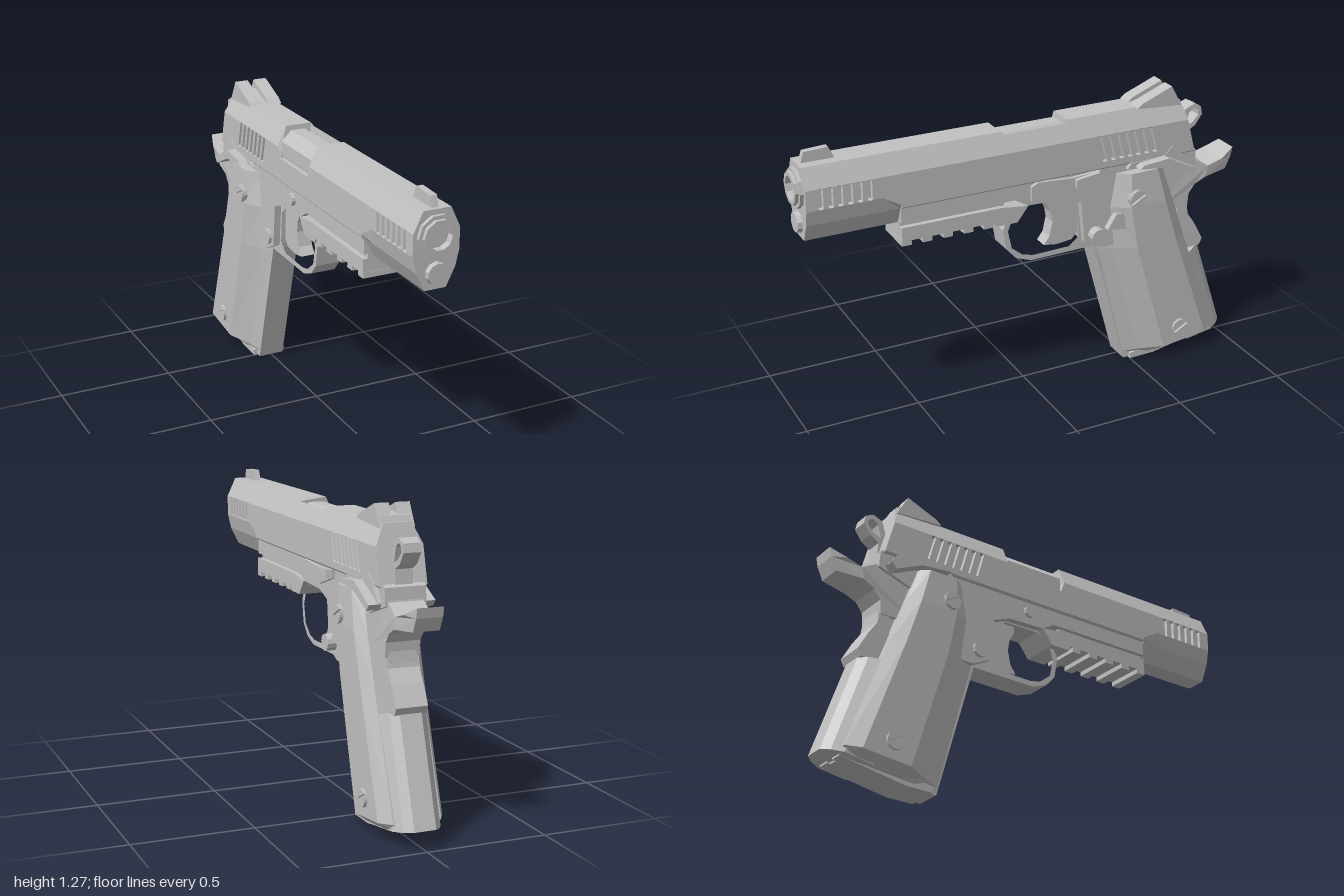
import * as THREE from 'three';

export function createModel() {
  const group = new THREE.Group();
  const steel = new THREE.MeshStandardMaterial({ color: 0xc2c2c2, flatShading: true });
  steel.name = 'grey steel';

  function add(name, geometry) {
    const mesh = new THREE.Mesh(geometry, steel);
    mesh.name = name;
    group.add(mesh);
    return mesh;
  }
  // Side profile of [z, y] points, extruded from x0 to x1
  function prism(name, pts, x0, x1, holes = [], taper = null) {
    const toV = (p) => new THREE.Vector2(p[0], p[1]);
    const shape = new THREE.Shape(pts.map(toV));
    holes.forEach((h) => shape.holes.push(new THREE.Path(h.map(toV))));
    const geo = new THREE.ExtrudeGeometry(shape, { depth: x1 - x0, bevelEnabled: false });
    geo.rotateY(-Math.PI / 2).translate(x1, 0, 0);
    if (taper) {
      const p = geo.attributes.position;
      for (let i = 0; i < p.count; i++) p.setX(i, p.getX(i) * taper(p.getZ(i)));
    }
    geo.computeVertexNormals();
    return add(name, geo);
  }
  // Closed skin over rings of [x, y, z] points, turned to face outward
  function loft(name, rings) {
    const tris = [];
    const n = rings[0].length;
    for (let i = 0; i < rings.length - 1; i++) {
      for (let j = 0; j < n; j++) {
        const k = (j + 1) % n, a = rings[i], b = rings[i + 1];
        tris.push([a[j], a[k], b[k]], [a[j], b[k], b[j]]);
      }
    }
    const cap = (r, flip) => {
      const c = [0, 1, 2].map((d) => r.reduce((s, p) => s + p[d], 0) / n);
      r.forEach((p, j) => tris.push(flip ? [c, r[(j + 1) % n], p] : [c, p, r[(j + 1) % n]]));
    };
    cap(rings[0], true);
    cap(rings[rings.length - 1], false);
    let volume = 0;
    const v = [new THREE.Vector3(), new THREE.Vector3(), new THREE.Vector3()];
    tris.forEach((t) => {
      t.forEach((p, i) => v[i].set(...p));
      volume += v[0].dot(v[1].cross(v[2]));
    });
    if (volume < 0) tris.forEach((t) => t.reverse());
    const geo = new THREE.BufferGeometry();
    geo.setAttribute('position', new THREE.Float32BufferAttribute(tris.flat(2), 3));
    geo.computeVertexNormals();
    return add(name, geo);
  }
  function box(name, x0, x1, y0, y1, z0, z1) {
    const m = add(name, new THREE.BoxGeometry(x1 - x0, y1 - y0, z1 - z0));
    m.position.set((x0 + x1) / 2, (y0 + y1) / 2, (z0 + z1) / 2);
  }
  // Round pin lying across the model
  function pin(name, z, y, r, x0, x1) {
    const m = add(name, new THREE.CylinderGeometry(r, r, x1 - x0, 12));
    m.rotation.z = Math.PI / 2;
    m.position.set((x0 + x1) / 2, y, z);
  }

  // Slide: stations from muzzle to rear, with serration grooves and a side port
  const rings = [];
  function station(z, { groove = false, nose = false, y4 = 1.0, port = false, lean = 0 } = {}) {
    const g = groove ? 0.085 : 0.097;
    const half = [[0.058, 1.2], [0.097, 1.117], [g, 1.11], [g, y4 + 0.005], [0.097, y4],
      nose ? [0.082, 0.965] : [0.097, 0.972], nose ? [0.045, 0.89] : [0.09, 0.965]];
    const left = half.map((p) => p.slice());
    const right = half.map((p) => [-p[0], p[1]]);
    if (port) {
      left[0] = [0.0641, 1.187];
      right[0] = [0.045, 1.07];
      right[1] = [-0.09, 1.07];
      right[2] = [-0.097, 1.07];
    }
    rings.push([...left, ...right.reverse()].map(([x, y]) => [x, y, z - (1.2 - y) * lean]));
  }
  function serrations(start, count, step, opts) {
    for (let i = 0; i < count; i++) {
      const z = start - i * step;
      station(z, opts);
      station(z - 0.003, { ...opts, groove: true });
      station(z - step * 0.45, { ...opts, groove: true });
      station(z - step * 0.45 - 0.003, opts);
    }
  }
  const nose = { nose: true, y4: 1.03 };
  station(0.97, nose);
  serrations(0.92, 6, 0.04, nose);
  station(0.66, nose);
  station(0.58, { nose: true, y4: 0.985 });
  station(0.58, { y4: 0.985 });
  station(0.13);
  station(0.115, { port: true });
  station(-0.155, { port: true });
  station(-0.17);
  serrations(-0.27, 7, 0.04, { lean: 0.27 });
  station(-0.71, { lean: 0.27 });
  loft('slide', rings);

  // Barrel, bushing and recoil plug
  const hood = add('barrelHood', new THREE.CylinderGeometry(0.08, 0.08, 0.28, 8));
  hood.geometry.rotateY(Math.PI / 8);
  hood.rotation.x = Math.PI / 2;
  hood.position.set(-0.008, 1.108, -0.02);
  function ring(name, y, outer, inner, z0, z1) {
    const s = new THREE.Shape().absarc(0, 0, outer, 0, Math.PI * 2);
    s.holes.push(new THREE.Path().absarc(0, 0, inner, 0, Math.PI * 2, true));
    const geo = new THREE.ExtrudeGeometry(s, { depth: z1 - z0, bevelEnabled: false, curveSegments: 5 });
    add(name, geo).position.set(0, y, z0);
  }
  ring('bushing', 1.1, 0.083, 0.055, 0.96, 0.985);
  ring('muzzle', 1.1, 0.068, 0.05, 0.96, 1.0);
  const plug = add('recoilPlug', new THREE.CylinderGeometry(0.042, 0.046, 0.03, 10));
  plug.rotation.x = Math.PI / 2;
  plug.position.set(0, 0.955, 0.975);

  // Sights
  prism('frontSight', [[0.955, 1.195], [0.94, 1.243], [0.84, 1.248], [0.815, 1.195]], -0.014, 0.014);
  prism('rearSightBase', [[-0.495, 1.19], [-0.64, 1.235], [-0.69, 1.225], [-0.71, 1.18]], -0.06, 0.06);
  for (const [a, b] of [[-0.073, -0.014], [0.014, 0.073]]) {
    prism('rearSightBlade', [[-0.495, 1.195], [-0.52, 1.215], [-0.66, 1.27], [-0.71, 1.18]], a, b);
  }

  // Frame with accessory rail
  prism('frame', [[0.58, 0.97], [0.58, 0.9], [0.08, 0.9], [0.02, 0.865], [-0.15, 0.86], [-0.23, 0.83],
    [-0.25, 0.64], [-0.33, 0.6], [-0.42, 0.6], [-0.64, 0.85], [-0.79, 0.9], [-0.785, 0.97], [-0.72, 1.01]],
  -0.085, 0.085);
  box('railNeck', -0.066, 0.066, 0.87, 0.905, 0.12, 0.58);
  prism('rail', [[0.58, 0.88], [0.58, 0.82], [0.17, 0.82], [0.16, 0.8], [0.07, 0.8], [0.02, 0.865], [0.14, 0.88]],
    -0.088, 0.088);
  for (let i = 0; i < 5; i++) box('railTooth', -0.088, 0.088, 0.8, 0.825, 0.54 - i * 0.09, 0.582 - i * 0.09);

  // Trigger guard and trigger
  prism('triggerGuard', [[0.1, 0.81], [0.12, 0.76], [0.105, 0.67], [0.06, 0.62], [-0.01, 0.595], [-0.2, 0.598],
    [-0.33, 0.6], [-0.33, 0.87], [0.02, 0.87]], -0.055, 0.055,
  [[[0.075, 0.81], [0.098, 0.75], [0.08, 0.67], [0.03, 0.63], [-0.02, 0.618], [-0.19, 0.622],
    [-0.235, 0.66], [-0.22, 0.8], [-0.15, 0.855], [0.02, 0.855]]]);
  prism('trigger', [[-0.09, 0.86], [-0.09, 0.835], [-0.115, 0.785], [-0.122, 0.74], [-0.108, 0.675], [-0.082, 0.64],
    [-0.14, 0.632], [-0.215, 0.64], [-0.24, 0.67], [-0.235, 0.86]], -0.032, 0.032);

  // Grip core, back strap and tang
  prism('gripCore', [[-0.28, 0.9], [-0.31, 0.6], [-0.475, 0.005], [-0.62, 0.012], [-0.96, 0.077], [-0.82, 0.5],
    [-0.81, 0.6], [-0.775, 0.65], [-0.765, 0.74], [-0.75, 0.9]], -0.058, 0.058);
  const strapCut = [[0, 0.045], [0.03, 0.075], [0.075, 0.1], [0.2, 0.1]];
  loft('backStrap', [[-0.982, 0.08], [-0.842, 0.5]].map(([z, y]) =>
    [...strapCut, ...strapCut.map(([d, x]) => [d, -x]).reverse()].map(([d, x]) => [x, y - d * 0.17, z + d])));
  prism('tang', [[-0.6, 0.97], [-0.6, 0.7], [-0.765, 0.7], [-0.77, 0.76], [-0.8, 0.8], [-0.85, 0.825],
    [-0.965, 0.835], [-0.99, 0.89], [-0.998, 0.93], [-0.93, 0.895], [-0.86, 0.875], [-0.79, 0.915], [-0.78, 0.96]],
  -0.09, 0.09, [], (z) => (z < -0.95 ? 0.6 : z < -0.84 ? 0.85 : 0.8));
  prism('gripSafetyPad', [[-0.72, 0.7], [-0.768, 0.7], [-0.775, 0.66], [-0.812, 0.605], [-0.856, 0.525],
    [-0.842, 0.495], [-0.72, 0.49]], -0.066, 0.066);

  // Grip panels: [front z, rear z, y at front, y at rear, width factor]
  const panelRows = [[-0.345, -0.61, 0.93, 0.935, 0.94], [-0.312, -0.665, 0.78, 0.78, 1],
    [-0.33, -0.735, 0.58, 0.58, 1], [-0.47, -0.912, 0.04, 0.095, 1], [-0.483, -0.915, 0.01, 0.06, 0.68]];
  const panelCut = [[0, 0.058], [0.14, 0.08], [0.38, 0.135], [0.86, 0.135], [1, 0.1], [1, 0.02], [0, 0.02]];
  for (const side of [-1, 1]) {
    loft('gripPanel', panelRows.map(([f, r, yf, yr, w]) => panelCut.map(([t, x]) =>
      [side * (x > 0.06 ? Math.max(x * w, 0.064) : x), yf + (yr - yf) * t, f + (r - f) * t])));
    // Slotted screws
    for (const [z, y] of [[-0.472, 0.82], [-0.715, 0.147]]) {
      const [a, b] = side > 0 ? [0.12, 0.137] : [-0.137, -0.12];
      pin('gripScrew', z, y, 0.04, a, b);
      for (const turn of [0.5, 0.5 + Math.PI]) {
        const cap = new THREE.Shape().absarc(0, 0, 0.037, 0.2, Math.PI - 0.2);
        const geo = new THREE.ExtrudeGeometry(cap, { depth: 0.012, bevelEnabled: false, curveSegments: 6 });
        add('screwHead', geo.rotateZ(turn).rotateY(side * Math.PI / 2)).position.set(side * 0.135, y, z);
      }
    }
    // Thumb safety lever
    const [p, q] = side > 0 ? [0.08, 0.1] : [-0.1, -0.08];
    prism('safetyArm', [[-0.44, 0.945], [-0.46, 0.97], [-0.62, 0.97], [-0.66, 1.015], [-0.7, 0.985], [-0.76, 0.91],
      [-0.74, 0.9], [-0.6, 0.945]], p, q);
    prism('safetyPaddle', [[-0.48, 0.95], [-0.5, 0.965], [-0.62, 0.975], [-0.76, 0.905], [-0.74, 0.88],
      [-0.62, 0.935]], Math.min(p, side * 0.138), Math.max(q, side * 0.138));
  }

  // Slide stop, cross pin, magazine catch and thumb scoop
  prism('slideStop', [[0.01, 0.95], [-0.02, 0.965], [-0.18, 0.955], [-0.31, 0.965], [-0.31, 0.93], [-0.18, 0.888],
    [0.01, 0.888]], 0.08, 0.1);
  prism('slideStopLug', [[-0.19, 0.95], [-0.3, 0.965], [-0.305, 0.93], [-0.19, 0.915]], 0.09, 0.12);
  pin('crossPin', -0.05, 0.92, 0.027, -0.1, 0.09);
  pin('magazineCatch', -0.3, 0.67, 0.035, -0.098, 0.125);
  prism('thumbScoop', [[-0.345, 0.69], [-0.385, 0.755], [-0.55, 0.74], [-0.48, 0.67]], 0.06, 0.115);

  // Hammer with open spur
  prism('hammer', [[-0.7, 0.98], [-0.71, 1.08], [-0.735, 1.07], [-0.757, 1.14], [-0.8, 1.157], [-0.834, 1.14],
    [-0.841, 1.105], [-0.81, 1.06], [-0.77, 1.035], [-0.775, 0.96]], -0.036, 0.036,
  [[[-0.76, 1.06], [-0.775, 1.12], [-0.8, 1.138], [-0.82, 1.125], [-0.822, 1.105], [-0.795, 1.075]]]);

  // Magazine floor plate
  prism('magazineBase', [[-0.5, 0.03], [-0.5, 0.004], [-0.62, 0.006], [-0.9, 0.058], [-0.9, 0.09]], -0.075, 0.075);
  return group;
}
